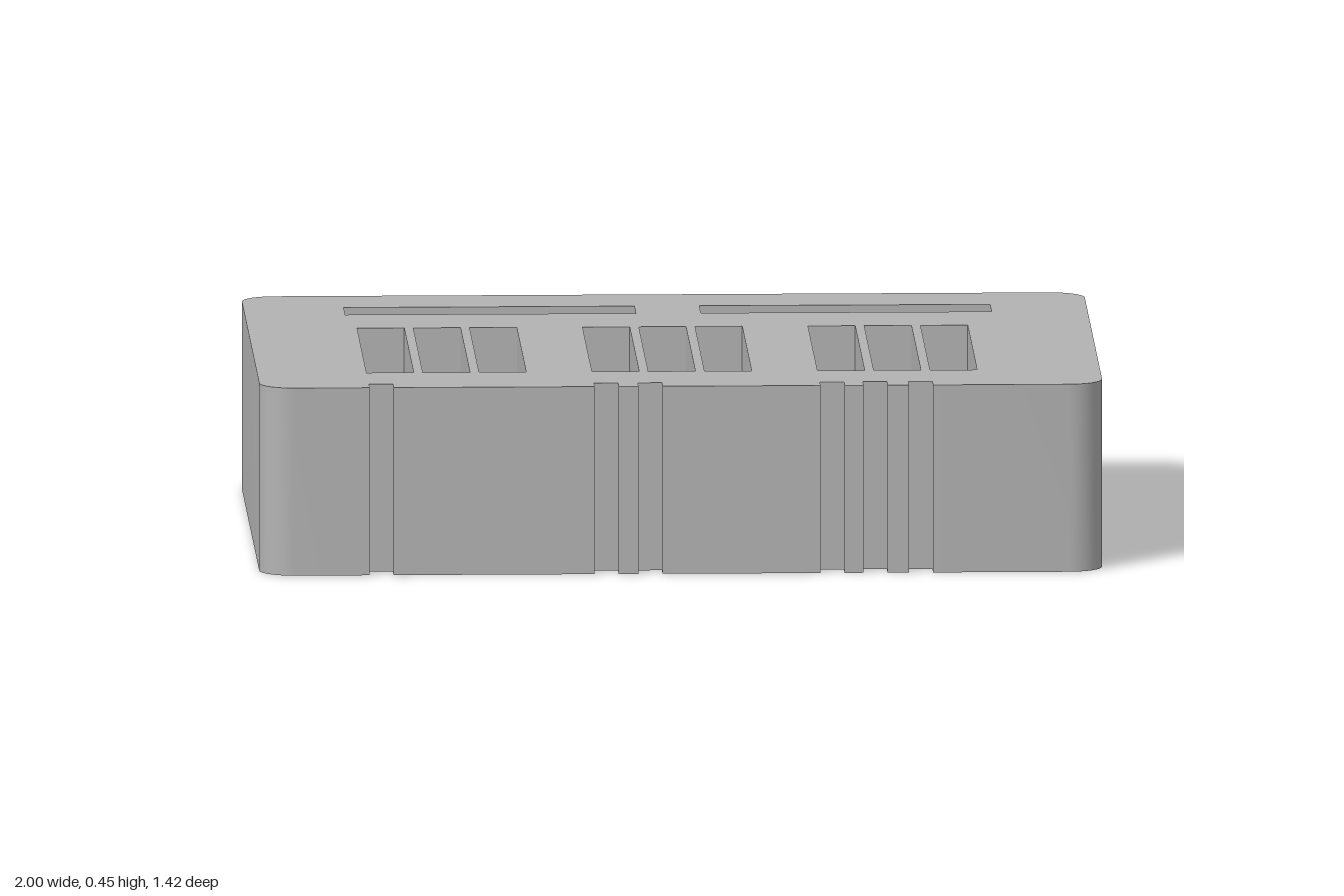
import * as THREE from 'three';
import { toCreasedNormals } from 'three/addons/utils/BufferGeometryUtils.js';

const W = 1, D = 0.71, H = 0.45, R = 0.08; // half width, half depth, height, corner radius
const FLOOR = 0.027, HOLE = 0.071, PITCH = 0.1335;
const SLOT_W = 0.112, SLOT_L = 0.69;

// Plan points are Vector2(x, z), counter-clockwise in that plane
const rect = (x, z, w, d) => [[-1, -1], [1, -1], [1, 1], [-1, 1]]
  .map(([i, j]) => new THREE.Vector2(x + i * w / 2, z + j * d / 2));

// Flat face with holes, looking up or down
function cap(outline, holes, y, up) {
  const shape = new THREE.Shape(outline);
  shape.holes = holes.map((h) => new THREE.Path(h));
  const g = new THREE.ShapeGeometry(shape).rotateX(Math.PI / 2).translate(0, y, 0);
  if (up) {
    const a = g.index.array;
    for (let i = 0; i < a.length; i += 3) [a[i], a[i + 1]] = [a[i + 1], a[i]];
    g.computeVertexNormals();
  }
  return g;
}

// Upright wall along a closed loop, facing outward or inward
function wall(points, y0, y1, inward) {
  const pos = [];
  points.forEach((p, i) => {
    let a = p, b = points[(i + 1) % points.length];
    if (inward) [a, b] = [b, a];
    pos.push(a.x, y0, a.y, a.x, y1, a.y, b.x, y1, b.y);
    pos.push(a.x, y0, a.y, b.x, y1, b.y, b.x, y0, b.y);
  });
  const g = new THREE.BufferGeometry();
  g.setAttribute('position', new THREE.Float32BufferAttribute(pos, 3));
  return toCreasedNormals(g, 0.5);
}

// Rounded rectangle with notches cut into the front edge
function bodyOutline() {
  const pts = [];
  const corner = (cx, cz, start) => {
    for (let i = 0; i <= 10; i++) {
      const a = start + (i / 10) * Math.PI / 2;
      pts.push(new THREE.Vector2(cx + R * Math.cos(a), cz + R * Math.sin(a)));
    }
  };
  corner(-W + R, -D + R, Math.PI);
  corner(W - R, -D + R, -Math.PI / 2);
  corner(W - R, D - R, 0);
  for (const x of [0.568, 0.46, 0.358, -0.074, -0.178, -0.712]) {
    const h = 0.0285, back = 0.655;
    pts.push(new THREE.Vector2(x + h, D), new THREE.Vector2(x + h, back),
      new THREE.Vector2(x - h, back), new THREE.Vector2(x - h, D));
  }
  corner(-W + R, D - R, Math.PI / 2);
  return pts;
}

export function createModel() {
  const group = new THREE.Group();
  const grey = new THREE.MeshStandardMaterial({ color: 0xb3b3b3 });
  grey.name = 'grey';
  const add = (name, geometry, parent = group) => {
    const mesh = new THREE.Mesh(geometry, grey);
    mesh.name = name;
    parent.add(mesh);
  };

  // Two long slots at the back, three banks of three slots in front
  const slots = [];
  const addSlot = (x, z, along) => {
    const holes = [];
    for (let i = -2; i <= 2; i++) {
      holes.push(along === 'x' ? rect(x + i * PITCH, z, HOLE, HOLE) : rect(x, z + i * PITCH, HOLE, HOLE));
    }
    const edge = along === 'x' ? rect(x, z, SLOT_L, SLOT_W) : rect(x, z, SLOT_W, SLOT_L);
    slots.push({ edge, holes });
  };
  for (const x of [-0.417, 0.427]) addSlot(x, -0.475, 'x');
  for (const bank of [-0.551, -0.016, 0.519]) {
    for (let i = -1; i <= 1; i++) addSlot(bank + i * PITCH, 0.134, 'z');
  }

  // Block shell
  const outline = bodyOutline();
  add('topFace', cap(outline, slots.map((s) => s.edge), H, true));
  add('bottomFace', cap(outline, slots.flatMap((s) => s.holes), 0, false));
  add('outerWall', wall(outline, 0, H, false));

  // Slot walls, floors and the square drain holes through them
  for (const { edge, holes } of slots) {
    const slot = new THREE.Group();
    slot.name = 'slot';
    add('slotWall', wall(edge, FLOOR, H, true), slot);
    add('slotFloor', cap(edge, holes, FLOOR, true), slot);
    for (const h of holes) add('drainHole', wall(h, 0, FLOOR, true), slot);
    group.add(slot);
  }
  return group;
}
